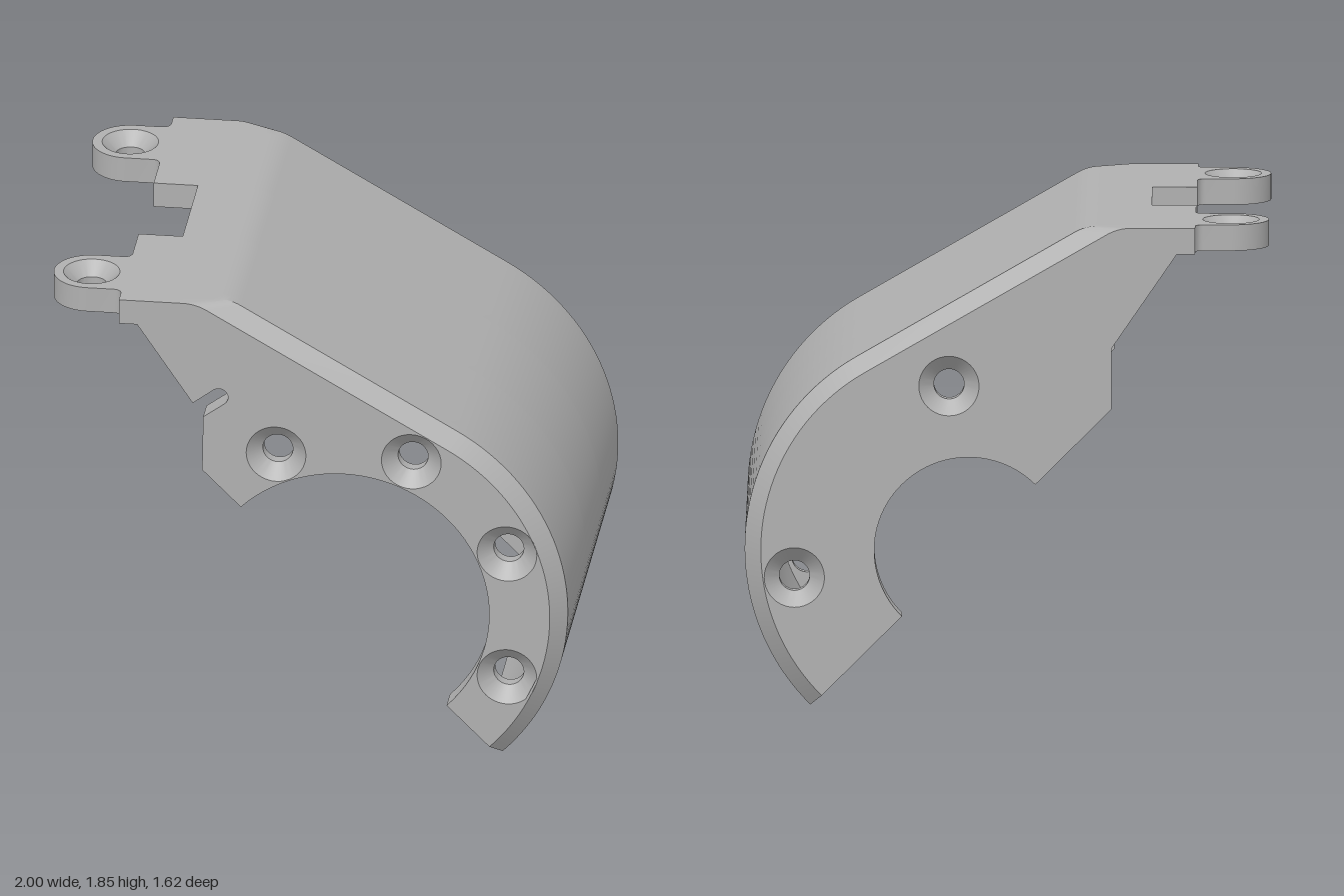
import * as THREE from 'three';
import { toCreasedNormals } from 'three/addons/utils/BufferGeometryUtils.js';

const CX = 0.145, CY = 0.605;          // centre of the curved end
const R = 0.855, WALL = 0.1, TOP = 1.85;
const rad = THREE.MathUtils.degToRad;
const P = (x, y) => new THREE.Vector2(x, y);

// Points on an arc, in degrees
function arc(cx, cy, r, from, to, n) {
  return Array.from({ length: n + 1 }, (_, i) => {
    const a = rad(from + ((to - from) * i) / n);
    return P(cx + r * Math.cos(a), cy + r * Math.sin(a));
  });
}

// Solid from matching anticlockwise loops stacked in z, with optional holes.
// Each hole is { x, y, rings: [[z, radius], ...] } running from first to last level.
function loft(levels, holes = []) {
  const pos = [];
  const put = (p, z) => pos.push(p.x, p.y, z);
  const wall = (A, za, B, zb) => A.forEach((a, i) => {
    const j = (i + 1) % A.length;
    put(a, za); put(A[j], za); put(B[j], zb);
    put(a, za); put(B[j], zb); put(B[i], zb);
  });
  const stacks = [levels, ...holes.map(h =>
    h.rings.map(([z, r]) => [z, arc(h.x, h.y, r, 360, 0, 40).slice(0, -1)]))];
  for (const s of stacks)
    for (let i = 0; i + 1 < s.length; i++) wall(s[i][1], s[i][0], s[i + 1][1], s[i + 1][0]);
  for (const last of [false, true]) {
    const loops = stacks.map(s => s[last ? s.length - 1 : 0][1]);
    const z = levels[last ? levels.length - 1 : 0][0];
    const all = loops.flat();
    for (const f of THREE.ShapeUtils.triangulateShape(loops[0], loops.slice(1)))
      (last ? f : [f[0], f[2], f[1]]).forEach(k => put(all[k], z));
  }
  const g = new THREE.BufferGeometry();
  g.setAttribute('position', new THREE.Float32BufferAttribute(pos, 3));
  return toCreasedNormals(g, 0.4);
}

// Curved end, straight slope and rounded shoulder, offset inwards from the outside
function outerCurve(inset, top = TOP) {
  const r = R - inset, t = 0.05;
  const tangent = P(CX + r * Math.cos(rad(60)), CY + r * Math.sin(rad(60)));
  const corner = P(tangent.x - (top - tangent.y) * Math.sqrt(3), top);
  const shoulder = new THREE.QuadraticBezierCurve(
    P(corner.x + t * Math.cos(rad(30)), top - t / 2), corner, P(corner.x - t, top));
  return [...arc(CX, CY, r, -45, 60, 40), ...shoulder.getPoints(8)];
}

// Outline of a side plate
function plateOutline(inset, openingRadius, slotted) {
  const slot = slotted
    ? [P(-0.436, 1.43), ...arc(-0.335, 1.462, 0.035, 127, -53, 12), P(-0.396, 1.374)]
    : [P(-0.4, 1.385)];
  return [
    P(-0.72, TOP), P(-0.72, TOP - WALL), P(-0.65, TOP - WALL), ...slot, P(-0.4, 1.15),
    ...arc(CX, CY, openingRadius, 135, -45, 48),
    ...outerCurve(inset),
  ];
}

// Cross-section of the cover wall, starting at the given x
function shellSection(startX) {
  return [...outerCurve(0), P(startX, TOP), P(startX, TOP - WALL),
    ...outerCurve(WALL, TOP - WALL).reverse()];
}

export function createModel() {
  const model = new THREE.Group();
  const grey = new THREE.MeshStandardMaterial({ color: 0xb0b0b0 });
  grey.name = 'grey';
  const add = (geometry, name) => {
    const mesh = new THREE.Mesh(geometry, grey);
    mesh.name = name;
    model.add(mesh);
    return mesh;
  };

  // Front plate: large opening, slot and four countersunk holes
  const frontHoles = [112.5, 67.5, 22.5, -22.5].map(a => ({
    x: CX + 0.68 * Math.cos(rad(a)), y: CY + 0.68 * Math.sin(rad(a)),
    rings: [[0.71, 0.058], [0.755, 0.058], [0.81, 0.115]],
  }));
  const frontFull = plateOutline(0, 0.56, true);
  add(loft([[0.71, frontFull], [0.75, frontFull], [0.81, plateOutline(0.062, 0.56, true)]],
    frontHoles), 'frontPlate');

  // Back plate: smaller opening and two countersunk holes
  const backHoles = [[0.22, 1.24], [0.81, 0.5]].map(([x, y]) => ({
    x, y, rings: [[-0.81, 0.115], [-0.755, 0.058], [-0.71, 0.058]],
  }));
  const backFull = plateOutline(0, 0.36, false);
  add(loft([[-0.81, plateOutline(0.062, 0.36, false)], [-0.75, backFull], [-0.71, backFull]],
    backHoles), 'backPlate');

  // Cover wall between the plates, set back in the middle to form the notch
  const strips = [[-0.71, -0.225, -0.72], [-0.225, 0.225, -0.55], [0.225, 0.71, -0.72]];
  for (const [z0, z1, x] of strips) {
    const section = shellSection(x);
    add(loft([[z0, section], [z1, section]]), 'coverWall');
  }

  // Mounting tabs with filleted roots and countersunk holes
  const r = 0.145, f = 0.03, tx = -0.855;
  const tab = [
    ...arc(tx, 0, r, 90, 270, 32),
    ...arc(-0.72 - f, -r - f, f, 90, 0, 6),
    ...arc(-0.72 - f, r + f, f, 0, -90, 6),
  ];
  const tabHole = { x: tx, y: 0,
    rings: [[TOP - WALL, 0.056], [TOP - 0.05, 0.056], [TOP, 0.108]] };
  for (const z of [-0.575, 0.575]) {
    const g = loft([[TOP - WALL, tab], [TOP, tab]], [tabHole]);
    g.rotateX(-Math.PI / 2);
    add(g, 'mountingTab').position.z = z;
  }
  return model;
}
